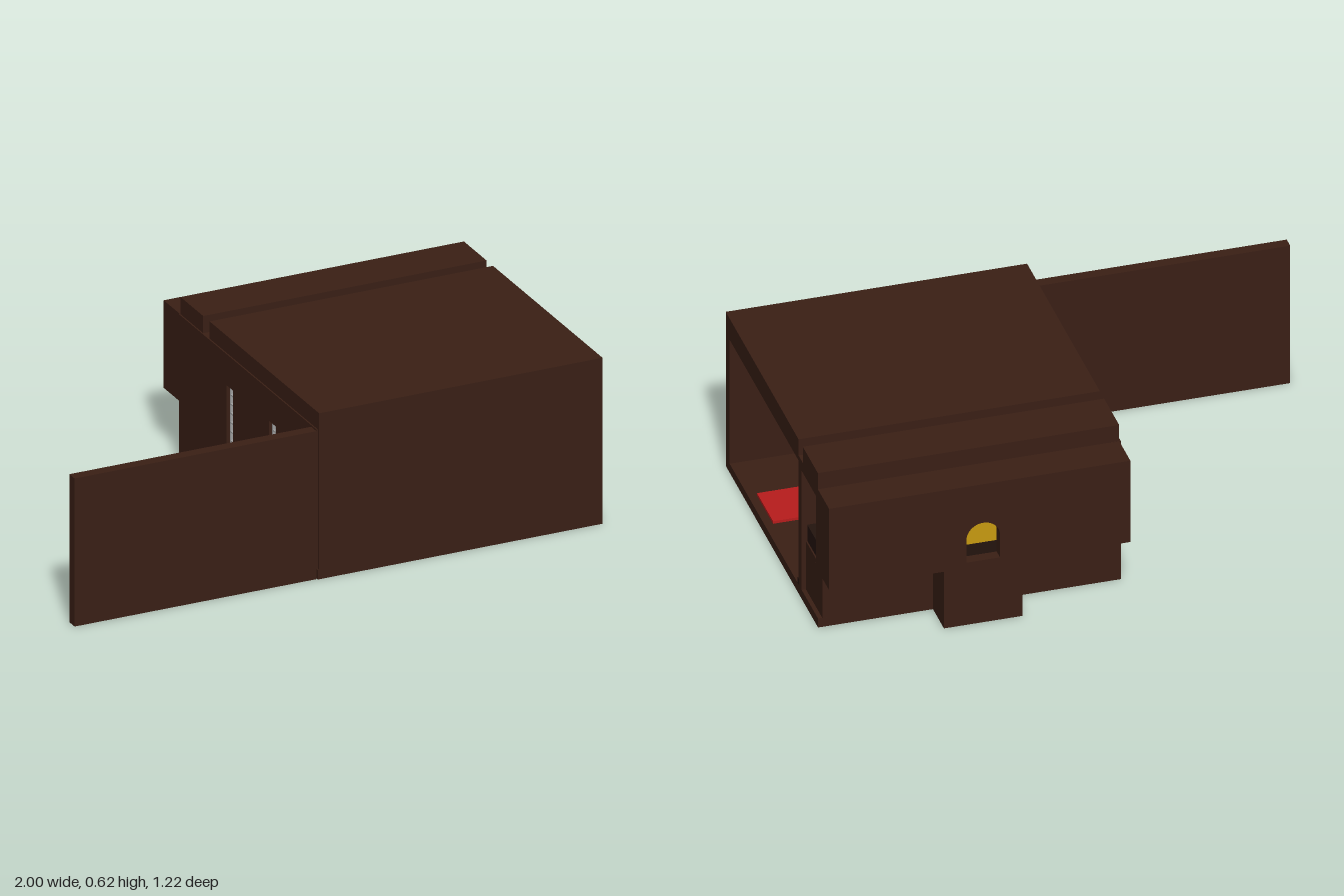
import * as THREE from 'three';

const mat = (color, side = THREE.FrontSide) => new THREE.MeshStandardMaterial({ color, side });
const wood = mat(0x3a1f15), darkWood = mat(0x24140e), stone = mat(0xcccccc);
const red = mat(0xb81c1c), gold = mat(0xc89a10), iron = mat(0x8a9094), frame = mat(0xa0a0a0);
const V = (x, y, z) => new THREE.Vector3(x, y, z);

export function createModel() {
  const root = new THREE.Group();

  const add = (name, geo, material = wood, parent = root) => {
    const m = new THREE.Mesh(geo, material);
    m.name = name;
    parent.add(m);
    return m;
  };
  // Box given by its limits on each axis
  const box = (name, x0, x1, y0, y1, z0, z1, material = wood, parent = root) => {
    const m = add(name, new THREE.BoxGeometry(x1 - x0, y1 - y0, z1 - z0), material, parent);
    m.position.set((x0 + x1) / 2, (y0 + y1) / 2, (z0 + z1) / 2);
    return m;
  };
  const rect = (T, a0, a1, b0, b1) => {
    const p = new T();
    p.moveTo(a0, b0); p.lineTo(a1, b0); p.lineTo(a1, b1); p.lineTo(a0, b1); p.closePath();
    return p;
  };
  const arch = (T, a0, a1, b0, b1) => {
    const p = new T(), r = (a1 - a0) / 2;
    p.moveTo(a0, b0); p.lineTo(a1, b0); p.lineTo(a1, b1 - r);
    p.absarc(a0 + r, b1 - r, r, 0, Math.PI, false);
    p.closePath();
    return p;
  };
  const extrude = (shape, depth) =>
    new THREE.ExtrudeGeometry(shape, { depth, bevelEnabled: false, curveSegments: 16 });
  // Bar between two points
  const bar = (name, a, b, r, material, parent, sides = 8) => {
    const m = add(name, new THREE.CylinderGeometry(r, r, a.distanceTo(b), sides), material, parent);
    m.position.copy(a).add(b).multiplyScalar(0.5);
    m.quaternion.setFromUnitVectors(V(0, 1, 0), b.clone().sub(a).normalize());
    return m;
  };

  // Hall shell, open on its left
  box('floor', -0.08, 1, 0, 0.036, -0.48, 0.61);
  box('frontWall', -0.075, 1, 0, 0.62, 0.564, 0.61);
  box('hallRoof', -0.075, 1, 0.555, 0.62, -0.25, 0.61);
  box('openingLintel', 0.96, 1, 0.535, 0.555, -0.25, 0.564);
  box('swungWall', -1, -0.083, 0, 0.553, 0.564, 0.605);
  box('sideBaseboard', -0.04, -0.025, 0.036, 0.06, -0.25, 0.564, darkWood);
  box('backBaseboard', -0.04, 1, 0.036, 0.06, -0.255, -0.24, darkWood);
  box('carpet', 0.1, 0.97, 0.036, 0.046, 0.15, 0.34, red);
  for (let i = 0; i < 8; i++) {
    const z = -0.18 + i * 0.096;
    box('ceilingBeam', -0.04, 0.96, 0.535, 0.556, z - 0.018, z + 0.018, darkWood);
  }

  // Side wall with two tall lattice windows
  const side = rect(THREE.Shape, -0.48, 0.6, 0, 0.556);
  const windows = [[0.225, 0.28], [-0.108, -0.055]];
  for (const [z0, z1] of windows) side.holes.push(rect(THREE.Path, z0, z1, 0.16, 0.44));
  add('sideWall', extrude(side, 0.04).rotateY(-Math.PI / 2).translate(-0.04, 0, 0));
  for (const [z0, z1] of windows) {
    const lattice = rect(THREE.Shape, z0, z1, 0.16, 0.44);
    const w = (z1 - z0 - 0.015) / 2, h = (0.28 - 0.045) / 8;
    for (let c = 0; c < 2; c++) for (let r = 0; r < 8; r++) {
      const a = z0 + 0.005 + c * (w + 0.005), b = 0.165 + r * (h + 0.005);
      lattice.holes.push(rect(THREE.Path, a, a + w, b, b + h));
    }
    add('windowLattice', extrude(lattice, 0.012).rotateY(-Math.PI / 2).translate(-0.055, 0, 0), frame);
  }

  // Wall between hall and gallery, with the doorway at the stair head
  const inner = rect(THREE.Shape, -0.04, 1, 0, 0.555);
  inner.holes.push(rect(THREE.Path, 0.66, 0.93, 0.295, 0.46));
  add('galleryWall', extrude(inner, 0.037).translate(0, 0, -0.287));

  // Gallery storey and the overhang behind it
  box('lowerBackWall', -0.08, 0.985, 0, 0.23, -0.48, -0.44);
  box('lowerEndWall', 0.95, 0.985, 0, 0.23, -0.46, -0.27);
  box('galleryFloor', -0.06, 0.98, 0.23, 0.295, -0.57, -0.27, darkWood);
  box('galleryCeiling', -0.075, 1, 0.515, 0.555, -0.61, -0.25);
  box('galleryRoof', -0.075, 1, 0.553, 0.62, -0.478, -0.3);
  for (const x of [-0.075, 0.96]) box('overhangEnd', x, x + 0.04, 0.228, 0.555, -0.61, -0.453);
  box('overhangUnderside', -0.075, 1, 0.228, 0.245, -0.61, -0.45);
  const back = rect(THREE.Shape, -0.075, 1, 0.228, 0.555);
  back.holes.push(arch(THREE.Path, 0.39, 0.51, 0.25, 0.4));
  add('overhangBackWall', extrude(back, 0.05).translate(0, 0, -0.61));
  add('archedPane', extrude(arch(THREE.Shape, 0.39, 0.51, 0.25, 0.4), 0.008).translate(0, 0, -0.568), gold);
  box('bay', 0.31, 0.59, 0, 0.23, -0.61, -0.47);

  // Curving staircase, described by the foot line of each side
  const stairs = new THREE.Group();
  stairs.name = 'staircase';
  root.add(stairs);
  const feet = [
    [V(0.653, 0.06, -0.02), V(0.68, 0.15, -0.11), V(0.69, 0.245, -0.19), V(0.7, 0.295, -0.25)],
    [V(0.83, 0.06, 0.05), V(0.87, 0.15, -0.11), V(0.885, 0.245, -0.19), V(0.89, 0.295, -0.25)],
  ];
  const sides = feet.map((p) => new THREE.CatmullRomCurve3(p));
  const steps = 10;
  for (let i = 0; i < steps; i++) {
    const t0 = i / steps, t1 = (i + 1) / steps;
    const c = [sides[0].getPoint(t0), sides[1].getPoint(t0), sides[1].getPoint(t1), sides[0].getPoint(t1)];
    const plan = new THREE.Shape(c.map((p) => new THREE.Vector2(p.x, -p.z)));
    const top = 0.06 + 0.235 * t1, under = Math.max(0.045, top - 0.045);
    add('stairStep', extrude(plan, top - under).rotateX(-Math.PI / 2).translate(0, under, 0), wood, stairs);
    add('stairStone', extrude(plan, under - 0.036).rotateX(-Math.PI / 2).translate(0, 0.036, 0), stone, stairs);
  }
  for (const [y, z, w] of [[0.095, -0.155, 0.04], [0.081, -0.14, 0.03], [0.143, -0.2, 0.026], [0.16, -0.22, 0.022]]) {
    const x = 0.868 + (-0.11 - z) * 0.18;
    box('exposedBrick', x, x + 0.012, y - 0.006, y + 0.006, z - w / 2, z + w / 2, wood, stairs);
  }
  box('stairPost', 0.855, 0.88, 0.036, 0.2, -0.124, -0.095, wood, stairs);

  // Rails, balusters and lamp posts on both sides
  const raised = (pts, h) => new THREE.CatmullRomCurve3(pts.map((p) => p.clone().setY(p.y + h)));
  const dish = [[0, 0], [0.004, 0], [0.004, 0.008], [0.013, 0.014], [0.013, 0.018], [0, 0.018]]
    .map(([r, y]) => new THREE.Vector2(r, y));
  feet.forEach((pts, s) => {
    add('stringer', new THREE.TubeGeometry(raised(pts, 0), 24, 0.014, 6), wood, stairs);
    add('handrail', new THREE.TubeGeometry(raised(pts, 0.055), 24, 0.007, 8), darkWood, stairs);
    for (let i = 1; i < 10; i++) {
      const p = sides[s].getPoint(i / 10);
      bar('baluster', p, p.clone().setY(p.y + 0.055), 0.003, darkWood, stairs, 6);
    }
    for (const p of pts.slice(0, 3)) {
      bar('lampPost', p.clone().setY(p.y - 0.02), p.clone().setY(p.y + 0.068), 0.009, darkWood, stairs);
      add('lampDish', new THREE.LatheGeometry(dish, 12), gold, stairs).position.set(p.x, p.y + 0.068, p.z);
    }
  });

  // Wheel chandelier hung on rods
  const lamp = new THREE.Group();
  lamp.name = 'chandelier';
  lamp.position.set(0.45, 0.49, 0.143);
  root.add(lamp);
  add('wheelRim', new THREE.TorusGeometry(0.058, 0.004, 6, 32).rotateX(Math.PI / 2), iron, lamp);
  for (let i = 0; i < 8; i++) {
    const a = (i / 8) * Math.PI * 2, x = Math.cos(a) * 0.058, z = Math.sin(a) * 0.058;
    bar('candle', V(x, 0, z), V(x, 0.017, z), 0.003, iron, lamp, 6);
    if (i % 2) continue;
    bar('spoke', V(0, 0, 0), V(x, 0, z), 0.002, iron, lamp, 6);
    bar('hangingRod', V(x * 0.4, 0, z * 0.4), V(x * 0.1, 0.065, z * 0.1), 0.001, iron, lamp, 6);
  }
  return root;
}
